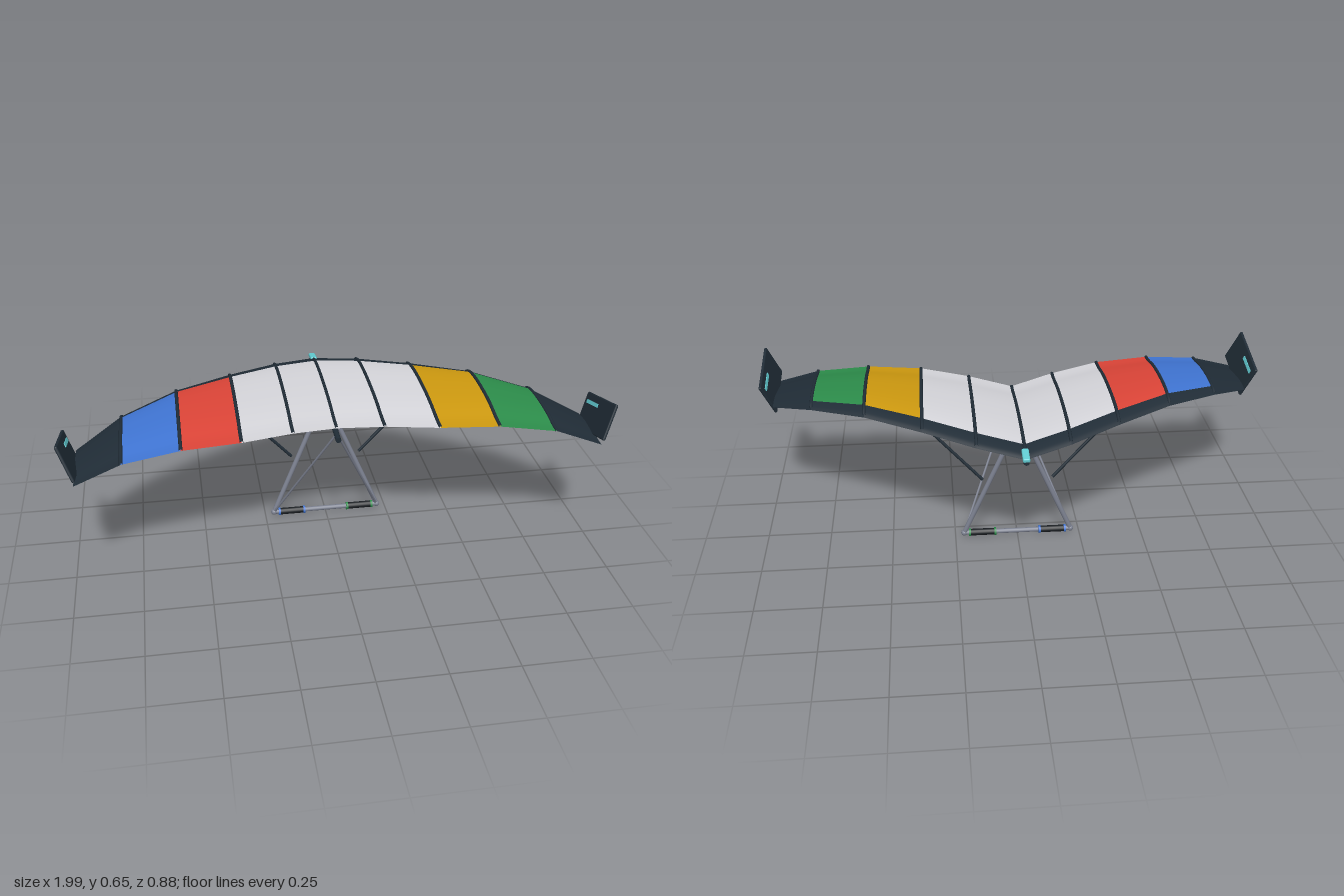
import * as THREE from 'three';
import { RoundedBoxGeometry } from 'three/addons/geometries/RoundedBoxGeometry.js';

const V = (x, y, z) => new THREE.Vector3(x, y, z);

function material(name, color) {
  const m = new THREE.MeshStandardMaterial({ color });
  m.name = name;
  return m;
}

// Rib stations: x, leading edge z and y, trailing edge z and y, camber height
const ribs = [
  { x: 0, lz: -0.42, ly: 0.54, tz: 0.205, ty: 0.533, c: 0.033 },
  { x: 0.17, lz: -0.35, ly: 0.556, tz: 0.265, ty: 0.557, c: 0.034 },
  { x: 0.362, lz: -0.24, ly: 0.571, tz: 0.33, ty: 0.57, c: 0.034 },
  { x: 0.577, lz: -0.112, ly: 0.577, tz: 0.36, ty: 0.573, c: 0.035 },
  { x: 0.785, lz: 0.02, ly: 0.551, tz: 0.385, ty: 0.55, c: 0.025 },
  { x: 0.95, lz: 0.16, ly: 0.5, tz: 0.415, ty: 0.496, c: 0.01 },
];

// Camber line: chord fraction against relative height; the third point ends the leading edge band
const camber = new THREE.SplineCurve([
  [0, 0], [0.04, 0.36], [0.12, 0.72], [0.22, 0.93], [0.35, 1],
  [0.5, 0.93], [0.64, 0.78], [0.77, 0.5], [0.89, 0.13], [1, 0],
].map(([t, h]) => new THREE.Vector2(t, h)));
const BAND = 2 / 9;

function sailPoint(rib, u, side, drop = 0) {
  const p = camber.getPoint(u);
  const y = THREE.MathUtils.lerp(rib.ly, rib.ty, p.x) + rib.c * p.y - drop * Math.sin(Math.PI * u);
  return V(side * rib.x, y, THREE.MathUtils.lerp(rib.lz, rib.tz, p.x));
}

// Strip of sail between two ribs, seen from above (top) or below
function sailPanel(a, b, u0, u1, side, top) {
  const n = 18, pos = [], index = [];
  for (let i = 0; i <= n; i++) {
    const u = u0 + (u1 - u0) * i / n;
    for (const rib of [a, b]) pos.push(...sailPoint(rib, u, side, top ? 0 : 0.004).toArray());
    if (i === n) continue;
    const k = i * 2;
    if (top === side > 0) index.push(k, k + 2, k + 1, k + 1, k + 2, k + 3);
    else index.push(k, k + 1, k + 2, k + 1, k + 3, k + 2);
  }
  const g = new THREE.BufferGeometry();
  g.setAttribute('position', new THREE.Float32BufferAttribute(pos, 3));
  g.setIndex(index);
  g.computeVertexNormals();
  return g;
}

export function createModel() {
  const model = new THREE.Group();
  model.name = 'hangGlider';

  const dark = material('charcoal', 0x202c36);
  const white = material('white', 0xd4d4d9);
  const blue = material('blue', 0x3f74d2);
  const red = material('red', 0xdb4437);
  const gold = material('gold', 0xcc980f);
  const green = material('green', 0x2c8c4a);
  const metal = material('tubeGrey', 0x7c8190);
  const teal = material('teal', 0x62cdd3);
  const black = material('gripBlack', 0x1b1f23);

  const add = (name, geometry, mat, parent = model) => {
    const mesh = new THREE.Mesh(geometry, mat);
    mesh.name = name;
    parent.add(mesh);
    return mesh;
  };

  // Straight round tube between two points
  const rod = (name, a, b, r, mat, sides = 14) => {
    const mesh = add(name, new THREE.CylinderGeometry(r, r, a.distanceTo(b), sides), mat);
    mesh.position.copy(a).add(b).multiplyScalar(0.5);
    mesh.quaternion.setFromUnitVectors(V(0, 1, 0), b.clone().sub(a).normalize());
    return mesh;
  };

  // Sail panels, leading edge band and ribs
  const sail = new THREE.Group();
  sail.name = 'sail';
  model.add(sail);
  for (const side of [1, -1]) {
    const colours = [white, white, side > 0 ? gold : red, side > 0 ? green : blue, dark];
    for (let i = 0; i < 5; i++) {
      const a = ribs[i], b = ribs[i + 1];
      add('sailTop', sailPanel(a, b, BAND, 1, side, true), colours[i], sail);
      add('leadingEdgeBand', sailPanel(a, b, 0, BAND, side, true), dark, sail);
      add('sailUnderside', sailPanel(a, b, 0, 1, side, false), i === 4 ? white : colours[i], sail);
    }
  }
  for (const side of [1, -1]) {
    ribs.slice(0, 5).forEach((rib, i) => {
      if (i === 0 && side < 0) return;
      const pts = [];
      for (let k = 0; k <= 12; k++) pts.push(sailPoint(rib, 0.06 + 0.94 * k / 12, side));
      add('rib', new THREE.TubeGeometry(new THREE.CatmullRomCurve3(pts), 28, 0.0065, 8), dark, sail);
    });
  }

  // Keel, nose cap and hub
  rod('keel', V(0, 0.539, -0.44), V(0, 0.503, 0.245), 0.0105, dark);
  const nose = add('noseCap', new RoundedBoxGeometry(0.026, 0.016, 0.068, 2, 0.005), teal);
  nose.position.set(0, 0.552, -0.409);
  nose.rotation.x = -0.14;
  add('hub', new RoundedBoxGeometry(0.06, 0.04, 0.095, 2, 0.008), dark).position.set(0, 0.496, -0.0925);

  // Control frame
  const base = 0.019, baseZ = -0.068;
  rod('baseBar', V(-0.215, base, baseZ), V(0.215, base, baseZ), 0.0095, metal);
  for (const s of [1, -1]) {
    const corner = V(s * 0.215, base, baseZ);
    rod('upright', V(s * 0.012, 0.492, -0.092), corner, 0.0095, metal);
    add('cornerJoint', new THREE.SphereGeometry(0.0125, 16, 10), metal).position.copy(corner);
    rod('rearStay', V(s * 0.006, 0.498, 0.2), corner, 0.0045, metal, 8);

    // Hand grip with a coloured ring at each end
    const ring = s > 0 ? green : blue;
    rod('grip', V(s * 0.092, base, baseZ), V(s * 0.192, base, baseZ), 0.0135, black);
    for (const x of [0.09, 0.192])
      rod('gripRing', V(s * (x - 0.004), base, baseZ), V(s * (x + 0.004), base, baseZ), 0.0155, ring);

    // Crossbar and side strut
    rod('crossbar', V(0, 0.51, -0.15), V(s * 0.68, 0.545, 0.02), 0.0095, metal);
    rod('sideStrut', V(s * 0.138, 0.27, -0.08), V(s * 0.372, 0.528, -0.068), 0.006, dark, 10);

    // Winglet, leaning outward, with a thin inlay on its inner face
    const winglet = new THREE.Group();
    winglet.name = s > 0 ? 'leftWinglet' : 'rightWinglet';
    winglet.position.set(s * 0.968, 0.556, 0.3);
    winglet.rotation.set(-0.257, 0, -s * 0.36);
    model.add(winglet);
    add('wingletPlate', new RoundedBoxGeometry(0.012, 0.138, 0.26, 2, 0.005), dark, winglet);
    add('wingletInlay', new THREE.BoxGeometry(0.004, 0.014, 0.1), teal, winglet)
      .position.set(-s * 0.007, 0.035, -0.055);
  }
  add('crossbarJoint', new THREE.SphereGeometry(0.0115, 16, 10), metal).position.set(0, 0.51, -0.15);

  return model;
}
